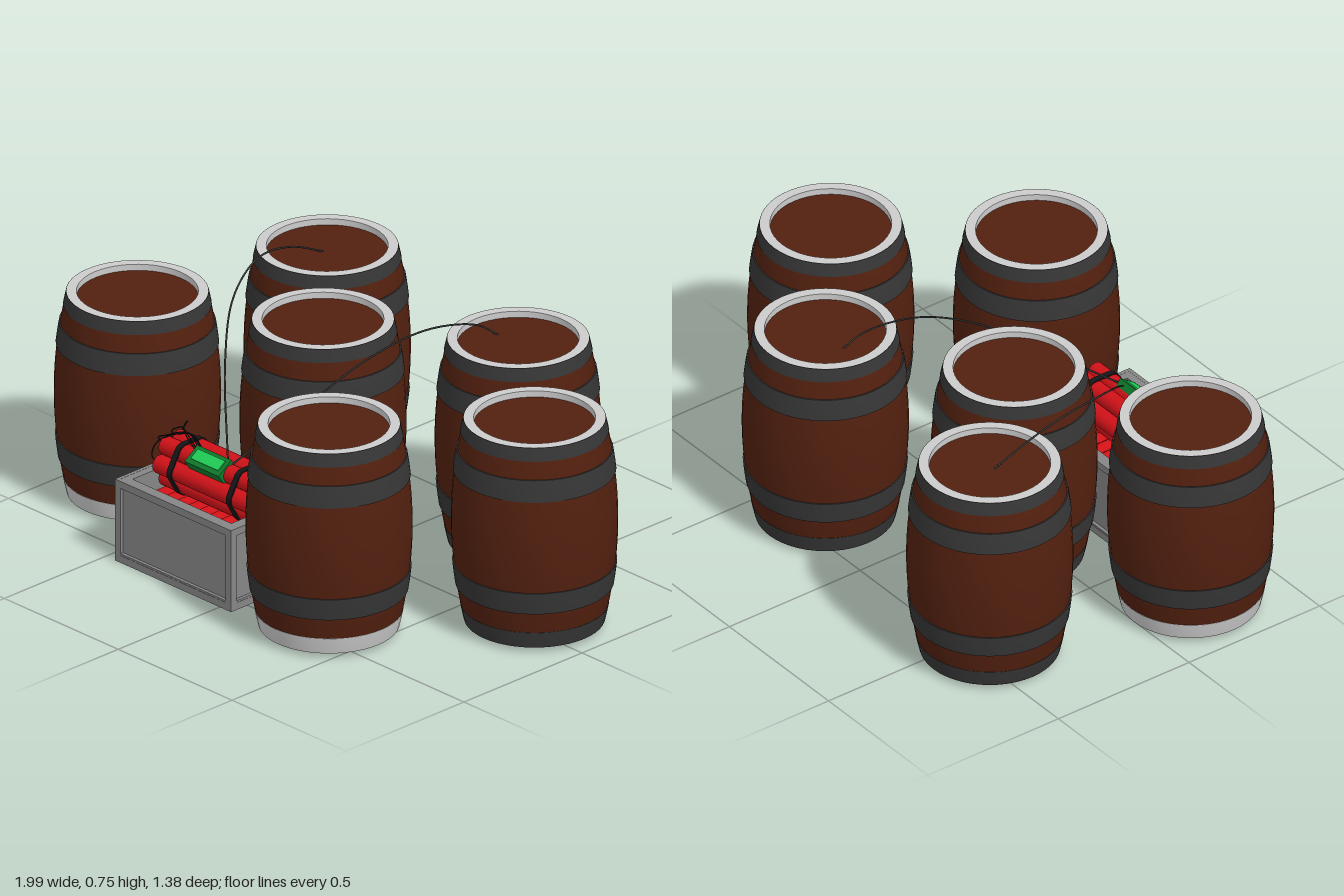
import * as THREE from 'three';
import { toCreasedNormals } from 'three/addons/utils/BufferGeometryUtils.js';

const mat = (color, side = THREE.FrontSide) => new THREE.MeshStandardMaterial({ color, side });
const V = (x, y, z) => new THREE.Vector3(x, y, z);

export function createModel() {
  const model = new THREE.Group();
  const wood = mat(0x52200f), iron = mat(0x363636), steel = mat(0xcccccc);
  const crateGrey = mat(0x858585), red = mat(0xd01218), black = mat(0x161616);
  const green = mat(0x0e7a2c), brightGreen = mat(0x1fce55);

  const add = (parent, name, geometry, material, x = 0, y = 0, z = 0) => {
    const mesh = new THREE.Mesh(geometry, material);
    mesh.name = name;
    mesh.position.set(x, y, z);
    parent.add(mesh);
    return mesh;
  };

  // Barrel outline: widest at mid height
  const bulge = (y) => 0.255 - 0.35 * (y - 0.355) ** 2;
  const lathe = (points) => toCreasedNormals(
    new THREE.LatheGeometry(points.map(([r, y]) => new THREE.Vector2(r, y)), 48), 0.6);
  const side = (y0, y1, offset, steps) => Array.from({ length: steps + 1 }, (_, i) => {
    const y = y0 + (y1 - y0) * i / steps;
    return [bulge(y) + offset, y];
  });
  // Closed ring between an inner radius and the bulging outline
  const band = (y0, y1, offset, inner) => {
    const outer = side(y0, y1, offset, 4);
    return lathe([...outer, [inner, y1], [inner, y0], outer[0]]);
  };
  const rimFace = (y, up) => {
    const ring = [[bulge(y) + 0.001, y], [0.186, y], [0.186, y + (up ? -0.025 : 0.025)]];
    return lathe(up ? ring : ring.reverse());
  };
  const staves = lathe(side(0.06, 0.66, 0, 16));
  const heads = new THREE.CylinderGeometry(0.19, 0.19, 0.635, 48);
  const hoops = [[0.14, 0.213], [0.52, 0.59]].map(([a, b]) => band(a, b, 0.004, 0.21));
  const topRim = band(0.648, 0.69, 0.002, 0.187);
  const bottomRim = band(0.015, 0.07, 0.001, 0.187);
  const topFace = rimFace(0.6905, true), bottomFace = rimFace(0.0145, false);

  // Barrels: x, z, and whether the bottom rim is bright steel
  [[-0.575, -0.44, false], [-0.21, -0.07, false], [-0.745, 0.2, true],
    [0.3, -0.405, false], [0.74, -0.05, false], [0.335, 0.43, true]].forEach(([x, z, bright]) => {
    const barrel = new THREE.Group();
    barrel.name = 'barrel';
    barrel.position.set(x, 0, z);
    add(barrel, 'barrelStaves', staves, wood);
    add(barrel, 'barrelHeads', heads, wood, 0, 0.3525, 0);
    hoops.forEach((g) => add(barrel, 'barrelHoop', g, iron));
    add(barrel, 'barrelTopRim', topRim, iron);
    add(barrel, 'barrelBottomRim', bottomRim, bright ? steel : iron);
    add(barrel, 'barrelTopRimFace', topFace, steel);
    add(barrel, 'barrelBottomRimFace', bottomFace, steel);
    model.add(barrel);
  });

  // Crate: open box with a raised frame on each side
  const crate = new THREE.Group();
  crate.name = 'crate';
  crate.position.set(-0.205, 0, 0.38);
  model.add(crate);
  const W = 0.51, D = 0.38, H = 0.275, inset = 0.012, wall = 0.026;
  const frame = (w, h, border) => {
    const rect = (Type, x, y) => new Type([[-x, -y], [x, -y], [x, y], [-x, y]]
      .map(([a, b]) => new THREE.Vector2(a, b)));
    const shape = rect(THREE.Shape, w / 2, h / 2);
    shape.holes.push(rect(THREE.Path, w / 2 - border, h / 2 - border));
    return new THREE.ExtrudeGeometry(shape, { depth: inset, bevelEnabled: false });
  };
  add(crate, 'crateFloor', new THREE.BoxGeometry(W - 0.002, 0.03, D - 0.002), crateGrey, 0, 0.0151, 0);
  for (const s of [-1, 1]) {
    add(crate, 'crateLongWall', new THREE.BoxGeometry(W - 2 * inset, H - 0.001, wall),
      crateGrey, 0, H / 2, s * (D / 2 - inset - wall / 2));
    add(crate, 'crateEndWall', new THREE.BoxGeometry(wall, H - 0.001, D - 2 * inset),
      crateGrey, s * (W / 2 - inset - wall / 2), H / 2, 0);
    const longFrame = add(crate, 'crateLongFrame', frame(W, H, 0.024), crateGrey,
      0, H / 2, s * (D / 2 - inset));
    longFrame.rotation.y = s > 0 ? 0 : Math.PI;
    const endFrame = add(crate, 'crateEndFrame', frame(D, H, 0.024), crateGrey,
      s * (W / 2 - inset), H / 2, 0);
    endFrame.rotation.y = s * Math.PI / 2;
  }

  // Loose sticks lying front to back inside the crate, with one gap on top
  const looseStick = new THREE.CylinderGeometry(0.0235, 0.0235, 0.295, 16).rotateX(Math.PI / 2);
  for (let layer = 0; layer < 4; layer++) {
    for (let i = 0; i < 9; i++) {
      if (layer === 3 && i === 7) continue;
      add(crate, 'looseStick', looseStick, red, -0.19 + i * 0.0475, 0.054 + layer * 0.047, 0);
    }
  }

  // Bundle of seven sticks lying across the top
  const bundle = new THREE.Group();
  bundle.name = 'stickBundle';
  bundle.position.set(-0.2, 0.303, 0.378);
  model.add(bundle);
  const R = 0.03;
  const centres = [[0, 0]];
  for (let i = 0; i < 6; i++) {
    const a = i * Math.PI / 3;
    centres.push([Math.sin(a) * 2 * R, Math.cos(a) * 2 * R]);
  }
  const stick = new THREE.CylinderGeometry(R, R, 0.415, 20).rotateZ(Math.PI / 2);
  centres.forEach(([y, z], i) => add(bundle, 'bundleStick', stick, red, ((i * 3) % 4 - 1.5) * 0.004, y, z));

  // Straps follow the rounded hexagon around the bundle
  const outline = (r) => {
    const pts = [];
    for (let i = 0; i < 6; i++) {
      for (let j = -2; j <= 2; j++) {
        const a = i * Math.PI / 3, b = a + j * Math.PI / 12;
        pts.push(new THREE.Vector2(Math.cos(a) * 2 * R + Math.cos(b) * r, Math.sin(a) * 2 * R + Math.sin(b) * r));
      }
    }
    return pts;
  };
  const strapShape = new THREE.Shape(outline(R + 0.004));
  strapShape.holes.push(new THREE.Path(outline(R - 0.001)));
  const strap = new THREE.ExtrudeGeometry(strapShape, { depth: 0.02, bevelEnabled: false }).rotateY(Math.PI / 2);
  for (const x of [-0.135, 0.125]) add(bundle, 'bundleStrap', strap, black, x, 0, 0);

  // Green timer box tilted on the front shoulder of the bundle
  const timer = new THREE.Group();
  timer.name = 'timer';
  timer.position.set(-0.195, 0.363, 0.419);
  timer.rotation.x = 0.6;
  model.add(timer);
  add(timer, 'timerBox', new THREE.BoxGeometry(0.15, 0.045, 0.066), green);
  add(timer, 'timerScreen', new THREE.BoxGeometry(0.12, 0.006, 0.038), brightGreen, 0, 0.023, -0.002);

  // Fuses and wires
  const tube = (name, pts, r, material) => add(model, name,
    new THREE.TubeGeometry(new THREE.CatmullRomCurve3(pts), 48, r, 8), material);
  tube('leftFuse', [V(-0.14, 0.385, 0.4), V(-0.36, 0.58, 0.2), V(-0.5, 0.695, 0.03),
    V(-0.575, 0.745, -0.15), V(-0.592, 0.725, -0.3), V(-0.585, 0.665, -0.44)], 0.003, iron);
  tube('rightFuse', [V(-0.12, 0.385, 0.4), V(-0.03, 0.53, 0.2), V(0.06, 0.67, 0),
    V(0.13, 0.732, -0.18), V(0.185, 0.715, -0.34), V(0.21, 0.665, -0.41)], 0.003, iron);
  centres.slice(0, 5).forEach(([y, z], i) => {
    const sy = 0.303 + y, sz = 0.378 + z;
    tube('detonatorWire', [V(-0.4, sy, sz), V(-0.43 - 0.004 * i, sy + 0.015, sz),
      V(-0.415, 0.365 + 0.008 * i, sz - 0.01), V(-0.34, 0.397 + 0.005 * i, 0.36 + 0.008 * i),
      V(-0.255, 0.375, 0.39 + 0.006 * i)], 0.002, black);
  });

  return model;
}
